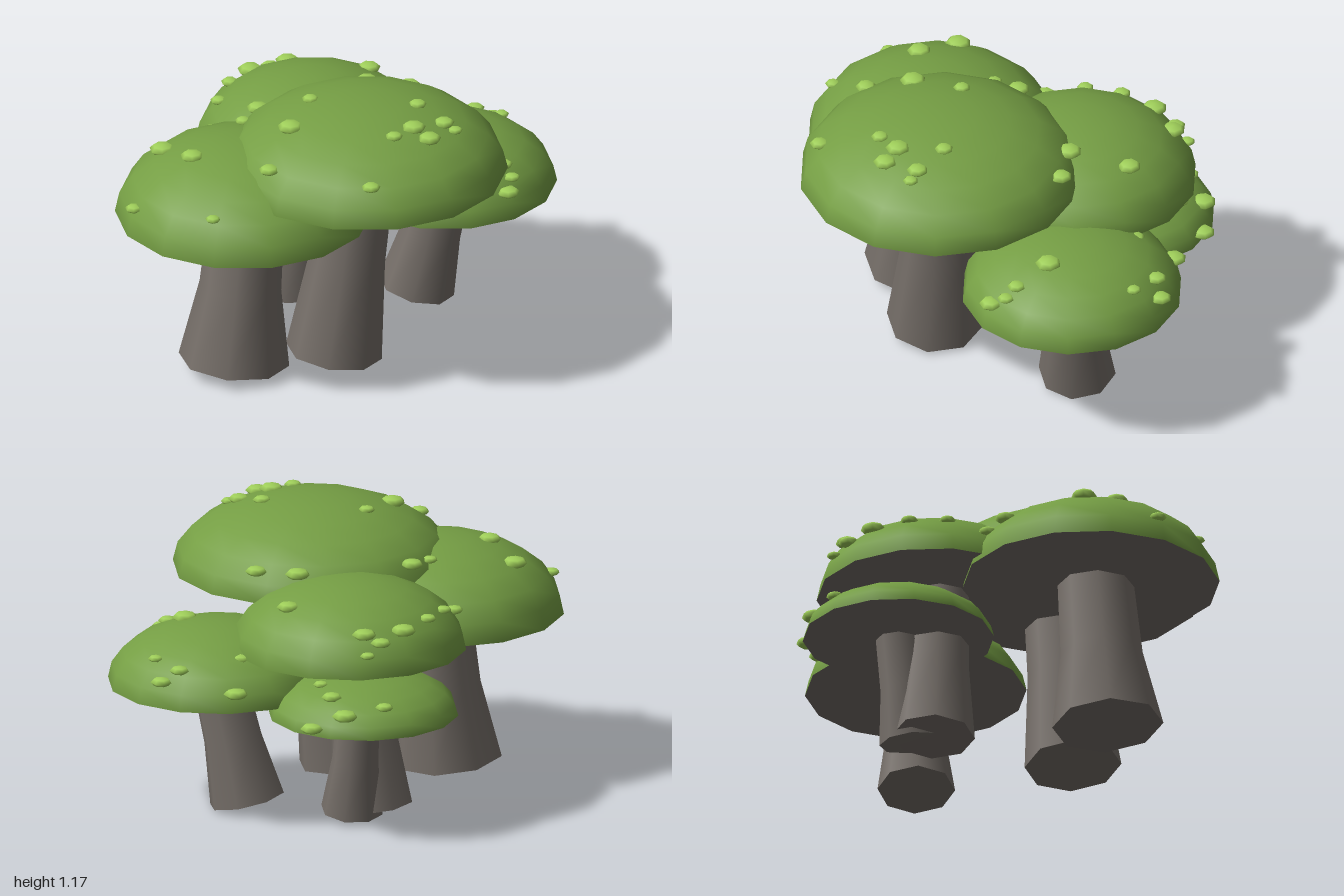
import * as THREE from 'three';

const SIDES = 14;

const paint = (name, color) => Object.assign(new THREE.MeshStandardMaterial({ color }), { name });

// Leaning stem with a flared foot
function makeStem(a, b, rb, rt, material) {
  const axis = b.clone().sub(a);
  const geo = new THREE.CylinderGeometry(rt, rb, axis.length(), 8, 2);
  const pinch = (rt * 1.08) / ((rt + rb) / 2);
  const p = geo.attributes.position;
  for (let i = 0; i < p.count; i++) {
    if (Math.abs(p.getY(i)) < 1e-4) p.setXYZ(i, p.getX(i) * pinch, 0, p.getZ(i) * pinch);
  }
  const mesh = new THREE.Mesh(geo, material);
  mesh.name = 'stem';
  mesh.position.copy(a).add(b).multiplyScalar(0.5);
  mesh.quaternion.setFromUnitVectors(new THREE.Vector3(0, 1, 0), axis.normalize());
  return mesh;
}

export function createModel() {
  const model = new THREE.Group();
  model.name = 'mushroomCluster';
  const capGreen = paint('capGreen', 0x759e44);
  const wartLime = paint('wartLime', 0xa0d05a);
  const stemGrey = paint('stemGrey', 0x77706a);

  const domeGeo = new THREE.SphereGeometry(1, SIDES, 6, Math.PI / 2, Math.PI * 2, 0, Math.PI / 2);
  const undersideGeo = new THREE.CircleGeometry(1, SIDES, Math.PI / 2).rotateX(Math.PI / 2);
  const wartGeo = new THREE.SphereGeometry(1, 7, 4);

  // cap: x, z, radius, rim height, dome height; foot and neck: x, z, radius;
  // warts: x, z pairs ordered from the largest to the smallest
  function addMushroom(name, [cx, cz, r, rimY, h], [fx, fz, fr], [nx, nz, nr], warts) {
    const group = new THREE.Group();
    group.name = name;

    const dome = new THREE.Mesh(domeGeo, capGreen);
    dome.name = 'cap';
    dome.position.set(cx, rimY, cz);
    dome.scale.set(r, h, r);

    const underside = new THREE.Mesh(undersideGeo, stemGrey);
    underside.name = 'capUnderside';
    underside.position.copy(dome.position);
    underside.scale.set(r, 1, r);

    const foot = new THREE.Vector3(fx, 0.033, fz);
    const neck = new THREE.Vector3(nx, rimY + 0.015, nz);
    group.add(dome, underside, makeStem(foot, neck, fr, nr, stemGrey));

    // Flattened warts resting on the dome
    warts.forEach(([x, z], i) => {
      const size = THREE.MathUtils.lerp(0.054, 0.032, i / (warts.length - 1));
      const d = Math.min(1, Math.hypot(x - cx, z - cz) / r);
      const wart = new THREE.Mesh(wartGeo, wartLime);
      wart.name = 'wart';
      wart.position.set(x, rimY + h * Math.sqrt(1 - d * d), z);
      wart.scale.set(size, size * 0.42, size);
      group.add(wart);
    });
    model.add(group);
  }

  addMushroom('tallMushroom', [-0.05, 0.285, 0.585, 0.87, 0.3], [-0.17, 0.225, 0.2], [-0.055, 0.26, 0.145],
    [[-0.37, 0.19], [0.28, -0.13], [0, 0.54], [0.02, 0.62], [-0.21, -0.23], [0.4, 0], [0.15, 0.55],
      [-0.56, 0.29], [-0.31, -0.235], [-0.34, 0.69], [0.13, 0.4], [-0.11, 0.55], [-0.18, 0.08],
      [-0.32, -0.19], [0.17, 0.6]]);

  addMushroom('leftMushroom', [-0.47, 0.005, 0.53, 0.685, 0.32], [-0.54, 0.03, 0.23], [-0.472, 0.03, 0.157],
    [[-0.68, -0.27], [-0.68, -0.07], [-0.25, 0.41], [-0.42, 0.43], [-0.95, -0.115], [-0.83, 0.26]]);

  addMushroom('backMushroom', [0.13, -0.295, 0.485, 0.71, 0.29], [0.065, -0.37, 0.17], [0.11, -0.29, 0.125],
    [[0.11, -0.69], [0.28, -0.66], [0.44, -0.32], [0.61, -0.22], [0.23, -0.71], [-0.29, -0.43],
      [-0.04, -0.635], [-0.17, -0.545], [0.3, -0.72]]);

  addMushroom('frontMushroom', [0.55, 0.055, 0.457, 0.53, 0.26], [0.465, -0.035, 0.16], [0.55, 0.05, 0.115],
    [[0.61, 0.22], [0.71, -0.35], [0.55, 0.47], [0.93, -0.12], [0.86, -0.15], [0.6, 0.375],
      [0.6, 0.43], [0.89, -0.01]]);

  addMushroom('lowMushroom', [0.17, -0.47, 0.395, 0.475, 0.185], [0.175, -0.39, 0.13], [0.185, -0.46, 0.09],
    [[0.41, -0.72], [0.52, -0.64], [0.4, -0.6], [0.25, -0.77], [0.38, -0.48]]);

  return model;
}
